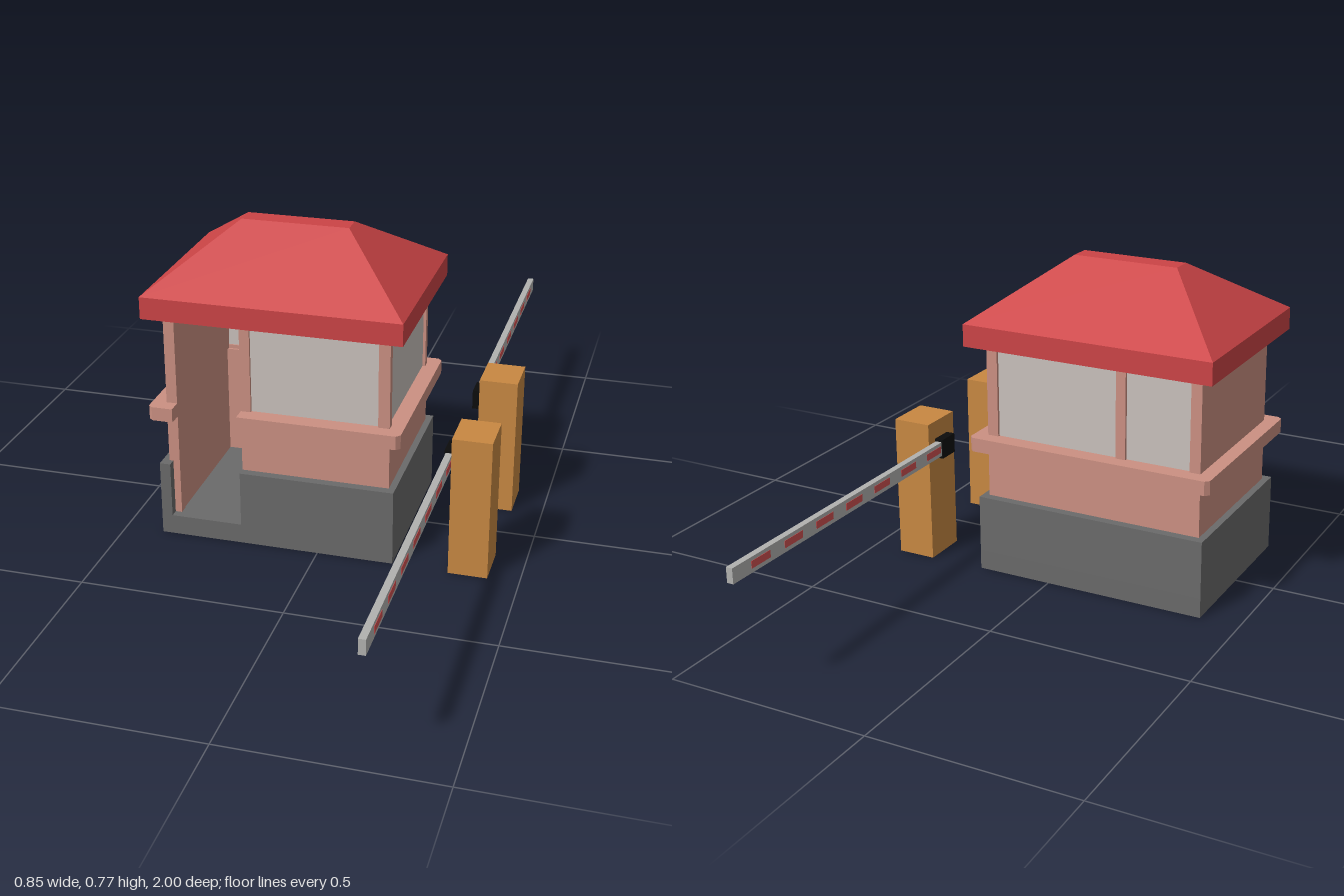
import * as THREE from 'three';

const mat = (color) => new THREE.MeshStandardMaterial({ color });
const PINK = mat(0xcb9082), RED = mat(0xcc4446), GREY = mat(0x6a6a6a), GLASS = mat(0xc9c1bc);
const ORANGE = mat(0xc88842), BLACK = mat(0x0c0c0c), STEEL = mat(0xb2b2b0), STRIPE = mat(0xd05050);

export function createModel() {
  const model = new THREE.Group();

  const add = (name, geometry, material, parent = model) => {
    const mesh = new THREE.Mesh(geometry, material);
    mesh.name = name;
    parent.add(mesh);
    return mesh;
  };

  // Box given by its extents on each axis
  const box = (name, [x0, x1], [y0, y1], [z0, z1], material, parent) => {
    const g = new THREE.BoxGeometry(x1 - x0, y1 - y0, Math.abs(z1 - z0));
    g.translate((x0 + x1) / 2, (y0 + y1) / 2, (z0 + z1) / 2);
    return add(name, g, material, parent);
  };

  // Rectangular wall band around the booth, open at the doorway (g0..g1) in front
  const band = (name, x0, x1, z, t, g0, g1, y0, y1, c, material) => {
    const pts = [
      [g1, z], [x1 - c, z], [x1, z - c], [x1, c - z], [x1 - c, -z], [x0 + c, -z],
      [x0, c - z], [x0, z - c], [x0 + c, z], [g0, z],
      [g0, z - t], [x0 + t, z - t], [x0 + t, t - z], [x1 - t, t - z], [x1 - t, z - t], [g1, z - t],
    ].filter((p, i, a) => i === 0 || p[0] !== a[i - 1][0] || p[1] !== a[i - 1][1]);
    const shape = new THREE.Shape(pts.map(([x, pz]) => new THREE.Vector2(x, -pz)));
    const g = new THREE.ExtrudeGeometry(shape, { depth: y1 - y0, bevelEnabled: false });
    g.rotateX(-Math.PI / 2);
    g.translate(0, y0, 0);
    return add(name, g, material);
  };

  // Base with floor, lower walls and ledge
  box('floor', [-0.402, 0.189], [0, 0.05], [-0.222, 0.222], GREY);
  band('base', -0.402, 0.189, 0.222, 0.025, -0.375, -0.195, 0.05, 0.192, 0, GREY);
  band('lowerWall', -0.385, 0.173, 0.2, 0.025, -0.358, -0.195, 0.05, 0.34, 0, PINK);
  band('ledge', -0.42, 0.206, 0.236, 0.055, -0.358, -0.195, 0.315, 0.35, 0.01, PINK);

  // Upper side wall, posts and windows
  const upper = [0.34, 0.59];
  box('sideWall', [-0.385, -0.358], upper, [-0.2, 0.2], PINK);
  for (const s of [1, -1]) {
    for (const [x0, x1] of [[-0.195, -0.17], [0.145, 0.173]]) {
      box('windowPost', [x0, x1], upper, [s * 0.2, s * 0.18], PINK);
    }
    box('window', [s > 0 ? -0.18 : -0.36, 0.15], upper, [s * 0.193, s * 0.185], GLASS);
  }
  box('sideWindow', [0.158, 0.166], upper, [-0.185, 0.185], GLASS);

  // Hipped roof: a box whose top corners are pulled in to a short flat ridge
  box('eaves', [-0.425, 0.211], [0.58, 0.635], [-0.242, 0.242], RED);
  const hip = new THREE.BoxGeometry(0.636, 0.14, 0.484);
  const p = hip.attributes.position;
  for (let i = 0; i < p.count; i++) {
    if (p.getY(i) > 0) {
      p.setX(i, p.getX(i) * 0.42);
      p.setZ(i, p.getZ(i) * 0.107);
    }
  }
  hip.computeVertexNormals();
  hip.translate(-0.107, 0.705, 0);
  add('roof', hip, RED);

  // Two barriers, mirrored front to back
  for (const s of [1, -1]) {
    const barrier = new THREE.Group();
    barrier.name = s > 0 ? 'frontBarrier' : 'backBarrier';
    model.add(barrier);
    box('barrierPost', [0.327, 0.423], [0, 0.357], [s * 0.114, s * 0.228], ORANGE, barrier);
    box('bracket', [0.305, 0.328], [0.263, 0.312], [s * 0.145, s * 0.2], BLACK, barrier);
    box('barrierArm', [0.308, 0.324], [0.27, 0.306], [s * 0.19, s], STEEL, barrier);
    for (let i = 0; i < 7; i++) {
      const z = 0.94 - i * 0.112;
      box('stripe', [0.307, 0.325], [0.28, 0.297], [s * z, s * (z - 0.063)], STRIPE, barrier);
    }
  }
  return model;
}
